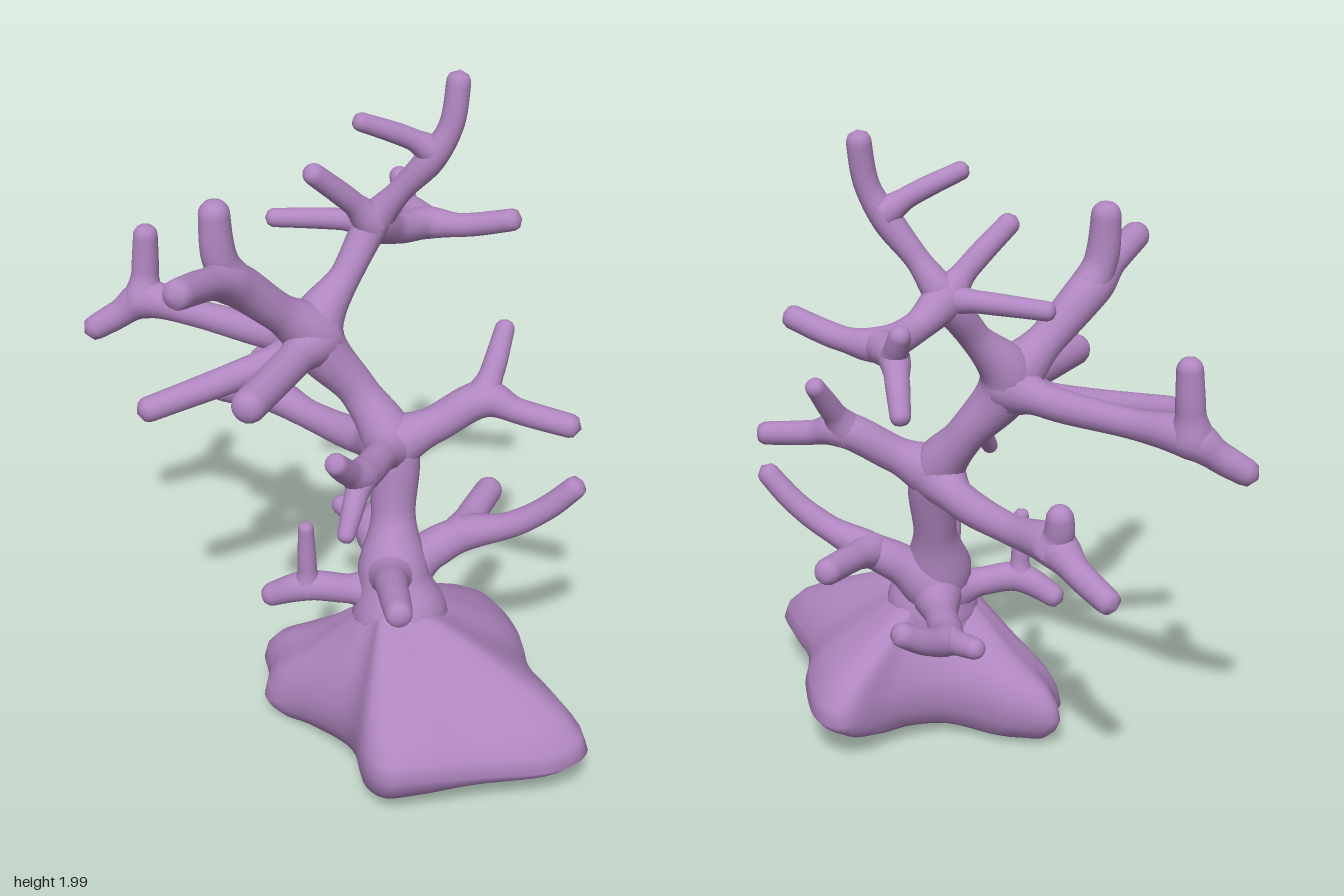
import * as THREE from 'three';
import { mergeVertices } from 'three/addons/utils/BufferGeometryUtils.js';

const material = new THREE.MeshStandardMaterial({ color: 0xb086c0, roughness: 0.8 });

function smooth(geometry) {
  geometry.deleteAttribute('normal');
  geometry.deleteAttribute('uv');
  const merged = mergeVertices(geometry, 1e-4);
  merged.computeVertexNormals();
  return merged;
}

// Round-tipped limb through control points [x, y, z, radius]
function limb(name, points, segments = 40) {
  const path = points.map(p => new THREE.Vector3(p[0], p[1], p[2]));
  const n = path.length - 1;
  const tip = path[n].clone().sub(path[n - 1]).setLength(0.033);
  path[n].add(tip);
  const curve = new THREE.CatmullRomCurve3(path, false, 'centripetal');
  const length = curve.getLength();
  const sides = 16;
  const geometry = new THREE.TubeGeometry(curve, segments, 1, sides, false);
  const pos = geometry.attributes.position;
  const v = new THREE.Vector3();
  for (let i = 0; i <= segments; i++) {
    const u = i / segments;
    const t = curve.getUtoTmapping(u) * n;
    const k = Math.min(Math.floor(t), n - 1);
    let r = THREE.MathUtils.lerp(points[k][3], points[k + 1][3], THREE.MathUtils.smoothstep(t - k, 0, 1));
    const left = (1 - u) * length;
    if (left < r) r *= Math.sqrt(Math.max(0, 1 - (1 - left / r) ** 2));
    const centre = curve.getPointAt(u);
    for (let j = 0; j <= sides; j++) {
      const id = i * (sides + 1) + j;
      v.fromBufferAttribute(pos, id).sub(centre).multiplyScalar(r).add(centre);
      pos.setXYZ(id, v.x, v.y, v.z);
    }
  }
  const mesh = new THREE.Mesh(smooth(geometry), material);
  mesh.name = name;
  return mesh;
}

// Lobed rock: one outline drawn in to a crest above and a shallow belly below
function rock() {
  const outline = new THREE.CatmullRomCurve3([
    [0.875, 0.16, 0.2], [0.84, 0.15, 0.3], [0.64, 0.16, 0.45], [0.5, 0.18, 0.565], [0.41, 0.18, 0.615],
    [0.33, 0.18, 0.585], [0.2, 0.17, 0.42], [0, 0.12, 0.33], [-0.15, 0.065, 0.28],
    [-0.18, 0.09, 0.2], [-0.235, 0.1, 0.11], [-0.13, 0.13, 0.035], [0.09, 0.17, -0.03], [0.2, 0.17, -0.16],
    [0.28, 0.15, -0.335], [0.37, 0.15, -0.335], [0.51, 0.17, -0.2], [0.61, 0.17, -0.04],
  ].map(p => new THREE.Vector3(...p)), true);
  const crest = new THREE.Vector3(0.2, 0.485, 0.17);
  // [spread, height]: negative height goes down to the belly
  const rings = [[0, -1], [0.4, -1], [0.72, -0.95], [0.88, -0.75], [0.96, -0.4], [1, 0],
    [0.97, 0.15], [0.88, 0.33], [0.75, 0.48], [0.6, 0.62], [0.45, 0.76], [0.3, 0.88], [0.15, 0.96], [0, 1]];
  const around = 108, verts = [], index = [];
  rings.forEach(([s, h], i) => {
    for (let j = 0; j < around; j++) {
      const p = outline.getPoint(j / around);
      const x = THREE.MathUtils.lerp(crest.x, p.x, s);
      const z = THREE.MathUtils.lerp(crest.z, p.z, s);
      const belly = 0.002 + 0.09 * Math.max(0, x + 0.07) + 0.1 * Math.max(0, 0.1 - z);
      const hollow = 0.8 * Math.max(0, 0.1 - p.x) * s * (1 - s);
      const y = h < 0 ? THREE.MathUtils.lerp(p.y, belly, -h) : THREE.MathUtils.lerp(p.y, crest.y, h) - hollow;
      verts.push(x, y, z);
      if (i === rings.length - 1) continue;
      const a = i * around + j, b = i * around + (j + 1) % around;
      index.push(a, a + around, b, b, a + around, b + around);
    }
  });
  const geometry = new THREE.BufferGeometry();
  geometry.setAttribute('position', new THREE.Float32BufferAttribute(verts, 3));
  geometry.setIndex(index);
  const mesh = new THREE.Mesh(smooth(geometry), material);
  mesh.name = 'rock';
  return mesh;
}

export function createModel() {
  const model = new THREE.Group();
  model.name = 'branchingCoral';
  model.add(rock());

  // Main stem, swelling where branches leave it
  model.add(limb('trunk', [
    [0.24, 0.3, 0.12, 0.17], [0.23, 0.41, 0.12, 0.145], [0.2, 0.53, 0.1, 0.108], [0.17, 0.7, 0.04, 0.067],
    [0.14, 0.91, 0, 0.082], [0.03, 1.06, -0.01, 0.06], [-0.09, 1.24, 0.03, 0.084],
    [-0.04, 1.4, -0.08, 0.046], [0, 1.53, -0.17, 0.052], [0.08, 1.64, -0.19, 0.036], [0.16, 1.74, -0.21, 0.043],
    [0.21, 1.84, -0.235, 0.036], [0.22, 1.967, -0.255, 0.035],
  ], 140));

  const branches = {
    // crown
    crownTwig: [[0.17, 1.76, -0.22, 0.045], [0.11, 1.81, -0.17, 0.031], [0.01, 1.87, -0.08, 0.027]],
    crownFrontTwig: [[0, 1.53, -0.17, 0.055], [-0.04, 1.61, -0.11, 0.035], [-0.11, 1.72, -0.01, 0.032]],
    crownSideTwig: [[0, 1.53, -0.17, 0.05], [-0.1, 1.53, -0.15, 0.032], [-0.28, 1.52, -0.1, 0.028]],
    crownBackBranch: [[0, 1.53, -0.17, 0.06], [0.03, 1.47, -0.28, 0.044], [0.07, 1.45, -0.4, 0.05],
      [0.18, 1.455, -0.42, 0.036], [0.33, 1.495, -0.435, 0.034]],
    crownBackFork: [[0.07, 1.45, -0.4, 0.05], [-0.03, 1.45, -0.48, 0.043], [-0.07, 1.41, -0.53, 0.034], [-0.11, 1.34, -0.58, 0.028]],
    crownBackTwig: [[-0.03, 1.45, -0.48, 0.042], [-0.05, 1.49, -0.5, 0.034], [-0.07, 1.53, -0.515, 0.029]],
    // upper joint
    upperFrontBranch: [[-0.09, 1.24, 0.03, 0.088], [-0.16, 1.35, 0.14, 0.057], [-0.23, 1.48, 0.27, 0.064],
      [-0.235, 1.53, 0.4, 0.046], [-0.235, 1.57, 0.56, 0.043]],
    upperFrontFork: [[-0.22, 1.46, 0.25, 0.06], [-0.25, 1.56, 0.295, 0.05], [-0.26, 1.705, 0.3, 0.044]],
    upperForwardBranch: [[-0.09, 1.23, 0.03, 0.088], [-0.09, 1.22, 0.17, 0.053], [-0.09, 1.21, 0.46, 0.05]],
    upperSlantBranch: [[-0.09, 1.22, 0.03, 0.085], [-0.19, 1.17, 0.13, 0.046], [-0.44, 1.095, 0.41, 0.038]],
    upperLongBranch: [[-0.09, 1.23, 0.03, 0.085], [-0.22, 1.205, 0.02, 0.05], [-0.5, 1.2, -0.005, 0.043],
      [-0.7, 1.2, -0.02, 0.06], [-0.77, 1.15, 0.01, 0.044], [-0.845, 1.1, 0.05, 0.038]],
    upperLongFork: [[-0.7, 1.2, -0.02, 0.063], [-0.7, 1.29, -0.035, 0.042], [-0.695, 1.41, -0.04, 0.037]],
    // middle joint
    middleSideBranch: [[0.14, 0.91, 0, 0.085], [0.02, 0.87, -0.06, 0.054], [-0.2, 0.855, -0.14, 0.046],
      [-0.38, 0.865, -0.2, 0.062], [-0.47, 0.82, -0.235, 0.042], [-0.59, 0.78, -0.28, 0.037]],
    middleSideFork: [[-0.37, 0.86, -0.2, 0.065], [-0.395, 0.92, -0.21, 0.044], [-0.4, 0.975, -0.22, 0.037]],
    middleBackBranch: [[0.14, 0.91, 0, 0.085], [0.25, 0.97, -0.06, 0.056], [0.38, 1.05, -0.14, 0.056],
      [0.48, 1.025, -0.155, 0.038], [0.635, 1, -0.18, 0.036]],
    middleBackFork: [[0.37, 1.04, -0.13, 0.058], [0.383, 1.12, -0.185, 0.036], [0.385, 1.22, -0.265, 0.029]],
    middleForwardBranch: [[0.14, 0.91, 0, 0.08], [0.16, 0.935, 0.12, 0.048], [0.175, 0.965, 0.28, 0.05],
      [0.168, 1.01, 0.35, 0.037], [0.165, 1.075, 0.42, 0.032]],
    middleForwardFork: [[0.175, 0.97, 0.27, 0.05], [0.185, 0.92, 0.34, 0.033], [0.19, 0.85, 0.405, 0.025]],
    // low on the stem
    lowSideBranch: [[0.2, 0.5, 0.06, 0.09], [0.28, 0.575, 0, 0.062], [0.36, 0.625, -0.05, 0.055],
      [0.5, 0.68, -0.075, 0.04], [0.6, 0.75, -0.1, 0.037], [0.68, 0.835, -0.12, 0.034]],
    lowBackBranch: [[0.35, 0.62, -0.04, 0.058], [0.35, 0.635, -0.14, 0.044], [0.35, 0.645, -0.29, 0.042]],
    lowForwardBranch: [[0.19, 0.53, 0.09, 0.09], [0.25, 0.59, 0.23, 0.05], [0.3, 0.615, 0.32, 0.045], [0.36, 0.63, 0.42, 0.04]],
    lowTwigBranch: [[0.18, 0.46, 0.1, 0.08], [0.08, 0.485, 0.18, 0.045], [-0.02, 0.5, 0.235, 0.046], [-0.13, 0.45, 0.26, 0.035]],
    lowTwigFork: [[-0.02, 0.49, 0.235, 0.045], [-0.02, 0.57, 0.24, 0.029], [-0.02, 0.7, 0.245, 0.023]],
    lowBackCurl: [[0.18, 0.47, 0.06, 0.08], [0.08, 0.465, -0.07, 0.05], [-0.01, 0.47, -0.19, 0.05],
      [0, 0.5, -0.28, 0.042], [0.04, 0.55, -0.36, 0.037]],
    lowBackCurlFork: [[-0.01, 0.47, -0.19, 0.05], [-0.07, 0.48, -0.21, 0.037], [-0.13, 0.49, -0.23, 0.032]],
  };
  for (const [name, points] of Object.entries(branches)) model.add(limb(name, points));
  return model;
}
